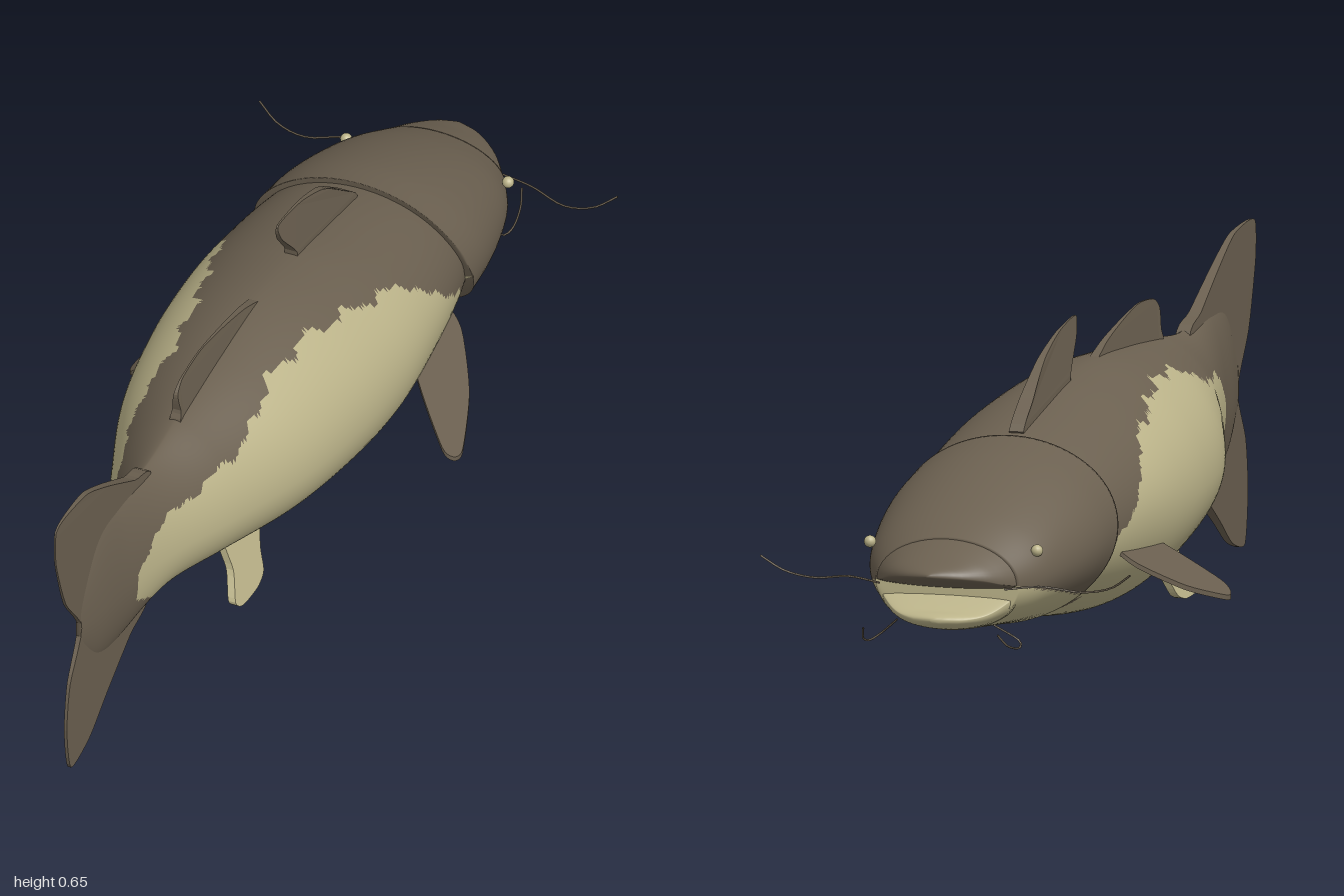
import * as THREE from 'three';

const make = (name, color) => {
  const m = new THREE.MeshStandardMaterial({ color, side: THREE.DoubleSide });
  m.name = name;
  return m;
};

// Catmull-Rom interpolation through stations keyed by their first value (z)
function sample(st, z) {
  let k = 0;
  while (k < st.length - 2 && z > st[k + 1][0]) k++;
  const a = st[Math.max(k - 1, 0)], b = st[k], c = st[k + 1], d = st[Math.min(k + 2, st.length - 1)];
  const t = (z - b[0]) / (c[0] - b[0]);
  return b.map((v, i) => {
    const m0 = (c[i] - a[i]) / (c[0] - a[0]) * (c[0] - b[0]);
    const m1 = (d[i] - b[i]) / (d[0] - b[0]) * (c[0] - b[0]);
    const t2 = t * t, t3 = t2 * t;
    return (2 * t3 - 3 * t2 + 1) * v + (t3 - 2 * t2 + t) * m0 + (3 * t2 - 2 * t3) * c[i] + (t3 - t2) * m1;
  });
}

// Loft over stations [z, bottom, middle, top, halfWidth, pointedness]; isPale(z, y) picks the colour
function loft(name, st, rings, sides, mats, isPale, shiftZ = (z) => z) {
  const pos = [], faces = [[], []];
  const z0 = st[0][0], z1 = st[st.length - 1][0];
  for (let i = 0; i <= rings; i++) {
    const z = z0 + (z1 - z0) * i / rings;
    const [, bot, mid, top, w, e] = sample(st, z);
    for (let j = 0; j < sides; j++) {
      const t = j / sides * Math.PI * 2, c = Math.cos(t), s = Math.sin(t);
      const y = mid + (s > 0 ? top - mid : mid - bot) * s;
      pos.push(Math.sign(c) * w * Math.pow(Math.abs(c), e), y, shiftZ(z, y));
    }
  }
  const add = (a, b, c) => {
    const avg = (k) => (pos[a * 3 + k] + pos[b * 3 + k] + pos[c * 3 + k]) / 3;
    faces[isPale(avg(2), avg(1)) ? 1 : 0].push(a, b, c);
  };
  for (let i = 0; i < rings; i++) for (let j = 0; j < sides; j++) {
    const k = (j + 1) % sides, a = i * sides + j, b = i * sides + k;
    add(a, b, a + sides);
    add(b, b + sides, a + sides);
  }
  // end caps
  const last = rings * sides;
  for (let j = 1; j < sides - 1; j++) {
    add(0, j + 1, j);
    add(last, last + j, last + j + 1);
  }
  const g = new THREE.BufferGeometry();
  g.setAttribute('position', new THREE.Float32BufferAttribute(pos, 3));
  g.setIndex([...faces[0], ...faces[1]]);
  g.addGroup(0, faces[0].length, 0);
  g.addGroup(faces[0].length, faces[1].length, 1);
  g.computeVertexNormals();
  const mesh = new THREE.Mesh(g, mats);
  mesh.name = name;
  return mesh;
}

// Thin fin from a rounded outline; place(u, v, w) puts outline and thickness into space
function fin(name, outline, thick, mat, place) {
  const curve = new THREE.CatmullRomCurve3(outline.map(([u, v]) => new THREE.Vector3(u, v, 0)), true, 'catmullrom', 0.35);
  const shape = new THREE.Shape(curve.getPoints(outline.length * 5).slice(0, -1).map((p) => new THREE.Vector2(p.x, p.y)));
  const g = new THREE.ExtrudeGeometry(shape, { depth: thick, bevelEnabled: false });
  const p = g.attributes.position;
  for (let i = 0; i < p.count; i++) p.setXYZ(i, ...place(p.getX(i), p.getY(i), p.getZ(i) - thick / 2));
  g.computeVertexNormals();
  const mesh = new THREE.Mesh(g, mat);
  mesh.name = name;
  return mesh;
}

function tube(name, points, mat) {
  const curve = new THREE.CatmullRomCurve3(points.map((p) => new THREE.Vector3(...p)));
  const mesh = new THREE.Mesh(new THREE.TubeGeometry(curve, 16, 0.0022, 5), mat);
  mesh.name = name;
  return mesh;
}

export function createModel() {
  const model = new THREE.Group();
  model.name = 'catfish';
  const dark = make('olive brown', 0x6b6050);
  const pale = make('pale khaki', 0xbcb48a);
  const both = [dark, pale];

  // Body with pale flanks and belly under a ragged dark back
  const body = [
    [-0.64, 0.12, 0.25, 0.39, 0.19, 1], [-0.5, 0.085, 0.265, 0.435, 0.222, 1],
    [-0.3, 0.055, 0.275, 0.48, 0.245, 1.05], [-0.17, 0.048, 0.275, 0.505, 0.25, 1.1],
    [0, 0.07, 0.28, 0.522, 0.24, 1.15], [0.2, 0.105, 0.29, 0.515, 0.207, 1.2],
    [0.4, 0.15, 0.3, 0.5, 0.14, 1.3], [0.55, 0.178, 0.31, 0.488, 0.082, 1.4],
    [0.7, 0.165, 0.32, 0.51, 0.042, 1.5], [0.8, 0.19, 0.32, 0.5, 0.024, 1.5], [0.88, 0.27, 0.32, 0.4, 0.006, 1.5],
  ];
  const backLine = [
    [-0.6, 0.13], [-0.56, 0.16], [-0.49, 0.25], [-0.37, 0.33], [-0.29, 0.4], [-0.15, 0.445], [0.03, 0.48],
    [0.22, 0.47], [0.32, 0.435], [0.46, 0.41], [0.62, 0.39], [0.67, 0.345], [0.7, 0.3],
  ];
  const flank = (z, y) => {
    if (z > 0.69) return false;
    if (z < -0.6) return y < 0.1;
    if (z < -0.5 && y > 0.105 && y < 0.13) return false;
    const ragged = 0.006 * Math.sin(z * 47) + 0.004 * Math.sin(z * 113);
    return y < sample(backLine, z)[1] + ragged && y > 0.19 + (z - 0.56) * 0.6;
  };
  model.add(loft('body', body, 190, 120, both, flank));

  // Head shell overlapping the body, with a rim that sweeps forward towards the throat
  const head = [
    [-0.89, 0.118, 0.212, 0.3, 0.148, 1], [-0.8, 0.112, 0.225, 0.345, 0.187, 1],
    [-0.7, 0.105, 0.24, 0.388, 0.212, 1], [-0.6, 0.098, 0.255, 0.422, 0.228, 1], [-0.5, 0.09, 0.265, 0.446, 0.234, 1],
  ];
  const sweep = (z, y) => z - 0.13 * Math.pow(Math.max(0, 0.4 - y) / 0.3, 1.8) * (z + 0.89) / 0.39;
  const jawLine = (z, y) => y < 0.155 - (z + 0.61) * 0.2;
  model.add(loft('head', head, 70, 96, both, jawLine, sweep));

  // Parted jaws
  model.add(loft('upperJaw', [
    [-1, 0.238, 0.241, 0.245, 0.006, 1], [-0.985, 0.23, 0.238, 0.254, 0.05, 1],
    [-0.95, 0.218, 0.23, 0.27, 0.098, 1], [-0.92, 0.21, 0.22, 0.285, 0.125, 1], [-0.88, 0.2, 0.212, 0.304, 0.152, 1],
  ], 16, 48, both, () => false));
  model.add(loft('lowerJaw', [
    [-0.965, 0.142, 0.148, 0.153, 0.01, 1], [-0.95, 0.134, 0.148, 0.158, 0.055, 1],
    [-0.92, 0.124, 0.158, 0.165, 0.1, 1], [-0.88, 0.117, 0.19, 0.196, 0.144, 1],
  ], 14, 48, both, () => true));

  // Fins on the centre line, drawn as (z, y) and thinned towards the edge
  const upright = (thin) => (u, v, w) => [-w * thin(u, v), v, u];
  model.add(fin('frontDorsalFin', [
    [-0.46, 0.44], [-0.4, 0.505], [-0.31, 0.57], [-0.21, 0.608], [-0.105, 0.624], [-0.112, 0.585], [-0.17, 0.515], [-0.18, 0.46],
  ], 0.03, dark, upright((u, v) => Math.min(1, Math.max(0.12, (0.64 - v) / 0.14)))));
  model.add(fin('rearDorsalFin', [
    [0.0, 0.5], [0.06, 0.54], [0.17, 0.568], [0.28, 0.587], [0.37, 0.582], [0.4, 0.56], [0.395, 0.52], [0.38, 0.48],
  ], 0.024, dark, upright((u, v) => Math.min(1, Math.max(0.15, (0.6 - v) / 0.1)))));
  model.add(fin('tailFin', [
    [0.55, 0.47], [0.63, 0.515], [0.75, 0.585], [0.85, 0.635], [0.95, 0.648], [0.995, 0.638], [0.995, 0.56],
    [0.95, 0.43], [0.875, 0.32], [0.93, 0.215], [0.945, 0.11], [0.925, 0.005], [0.84, 0.02],
    [0.76, 0.075], [0.65, 0.145], [0.56, 0.19],
  ], 0.03, dark, upright((u) => Math.max(0.12, 1 - (u - 0.55) * 2))));

  // Paired fins, eyes and whiskers
  for (const s of [1, -1]) {
    const side = s > 0 ? 'left' : 'right';
    model.add(fin(side + 'PectoralFin', [
      [0.2, -0.46], [0.245, -0.45], [0.31, -0.34], [0.352, -0.21], [0.348, -0.175], [0.325, -0.17], [0.25, -0.24], [0.2, -0.31],
    ], 0.01, dark, (u, v, w) => [s * u, 0.2 - 0.9 * (u - 0.235) - s * w, v]));
    model.add(fin(side + 'PelvicFin', [
      [0.15, 0.15], [0.15, 0.11], [0.19, 0.06], [0.21, 0.02], [0.25, 0.008], [0.32, 0.012], [0.34, 0.03], [0.305, 0.08], [0.29, 0.15],
    ], 0.016, pale, (u, v, w) => [s * (0.055 + 0.4 * (0.13 - v)) - w, v, u]));

    const eye = new THREE.Mesh(new THREE.SphereGeometry(0.012, 16, 12), pale);
    eye.name = side + 'Eye';
    eye.position.set(s * (s > 0 ? 0.182 : 0.166), 0.275, -0.825);
    model.add(eye);

    model.add(tube(side + 'LongWhisker', [
      [s * 0.13, 0.21, -0.92], [s * 0.2, 0.216, -0.9], [s * 0.28, 0.206, -0.88], [s * 0.34, 0.218, -0.885], [s * 0.385, 0.248, -0.9],
    ], dark));
    model.add(tube(side + 'ChinWhisker', [
      [s * 0.1, 0.135, -0.9], [s * 0.145, 0.1, -0.87], [s * 0.155, 0.092, -0.9], [s * 0.15, 0.105, -0.96], [s * 0.14, 0.13, -0.99],
    ], dark));
  }
  return model;
}
